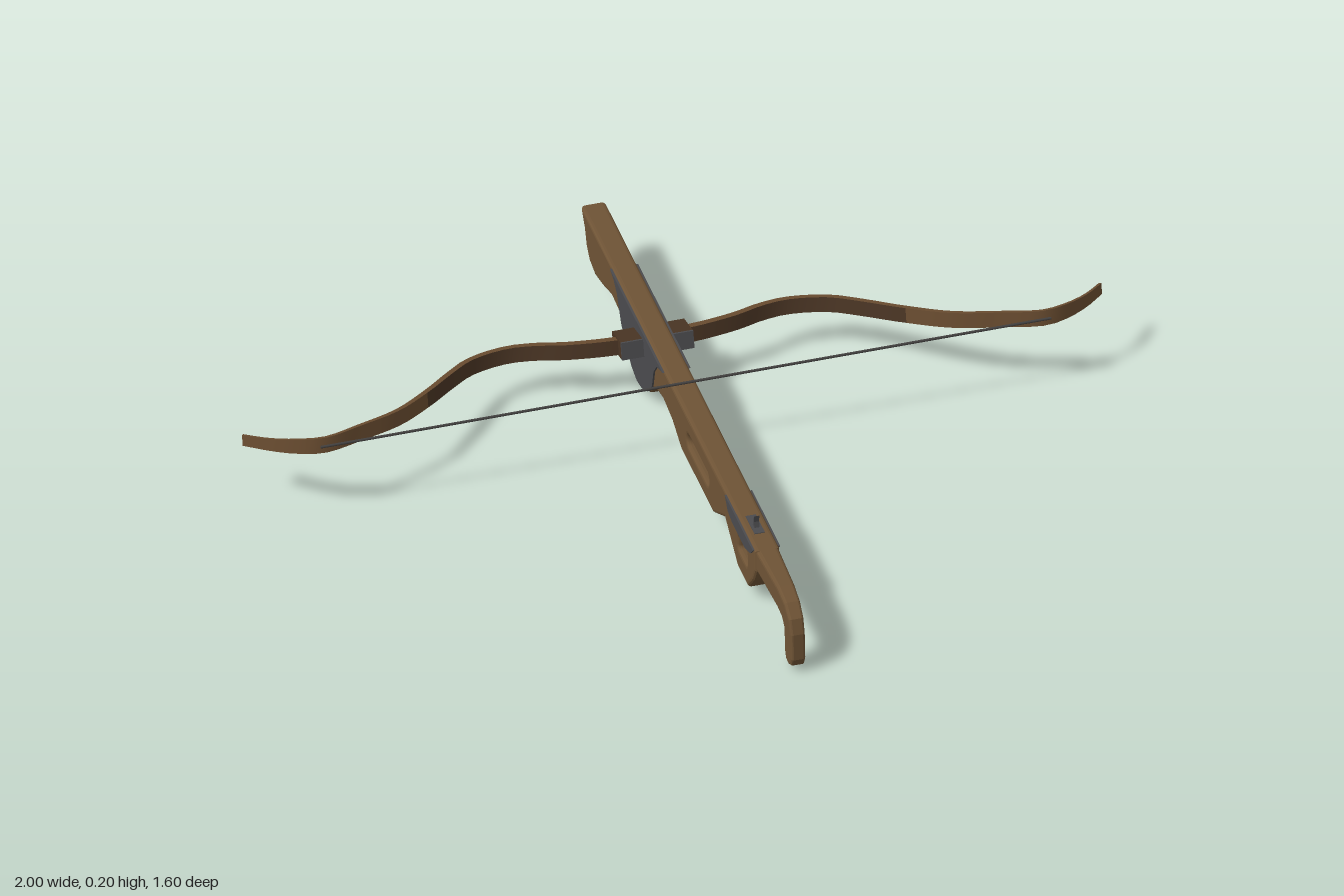
import * as THREE from 'three';

const mat = (name, color, side = THREE.FrontSide) => {
  const m = new THREE.MeshStandardMaterial({ color, side });
  m.name = name;
  return m;
};

// Extrudes a side profile of [z, y] points across x, centred on x = 0
function sideExtrude(points, width, bevel = 0, holes = []) {
  const shape = new THREE.Shape(points.map(p => new THREE.Vector2(...p)));
  shape.holes = holes;
  const depth = width - 2 * bevel;
  const geo = new THREE.ExtrudeGeometry(shape, {
    depth, bevelEnabled: bevel > 0, bevelSize: bevel, bevelThickness: bevel,
    bevelOffset: -bevel, bevelSegments: 3, curveSegments: 6,
  });
  return geo.translate(0, 0, -depth / 2).rotateY(-Math.PI / 2);
}

// Rounded slot with corner radius r
function slot(z0, z1, y0, y1, r) {
  const p = new THREE.Path();
  p.absarc(z1 - r, y0 + r, r, -Math.PI / 2, 0);
  p.absarc(z1 - r, y1 - r, r, 0, Math.PI / 2);
  p.absarc(z0 + r, y1 - r, r, Math.PI / 2, Math.PI);
  p.absarc(z0 + r, y0 + r, r, Math.PI, Math.PI * 1.5);
  return p;
}

// Ribbon surface between two rows of points
function strip(rowA, rowB) {
  const pos = [], index = [];
  rowA.forEach((a, i) => {
    pos.push(...a.toArray(), ...rowB[i].toArray());
    if (i) {
      const k = 2 * i;
      index.push(k - 2, k, k + 1, k - 2, k + 1, k - 1);
    }
  });
  const geo = new THREE.BufferGeometry();
  geo.setAttribute('position', new THREE.Float32BufferAttribute(pos, 3));
  geo.setIndex(index);
  geo.computeVertexNormals();
  return geo;
}

export function createModel() {
  const model = new THREE.Group();
  const wood = mat('wood', 0x6e5335);
  const bowWood = mat('bow wood', 0x694c30, THREE.DoubleSide);
  const darkWood = mat('dark wood', 0x4a3524, THREE.DoubleSide);
  const metal = mat('metal', 0x4b4b4e);
  const cord = mat('cord', 0x434140);
  const add = (name, geo, material, parent = model) => {
    const m = new THREE.Mesh(geo, material);
    m.name = name;
    parent.add(m);
    return m;
  };

  // Stock with trigger guard and two slots
  const bulge = [[-0.235, 0.06], [-0.27, 0.026], [-0.31, 0.006], [-0.35, 0],
    [-0.39, 0.01], [-0.43, 0.035], [-0.47, 0.07]];
  const outline = [
    [-0.8, 0.17], [-0.775, 0.13], [-0.76, 0.09], [-0.735, 0.065], [-0.69, 0.055],
    [-0.63, 0.068], [-0.56, 0.09], [-0.5, 0.085], ...bulge.slice().reverse(),
    [-0.21, 0.075], [-0.16, 0.085], [-0.09, 0.075], [-0.02, 0.045], [0.23, 0.045],
    [0.32, 0.095], [0.42, 0.03], [0.5, 0.03], [0.54, 0.075], [0.56, 0.112], [0.56, 0.17],
  ];
  add('stock', sideExtrude(outline, 0.058, 0.009,
    [slot(0.025, 0.195, 0.091, 0.124, 0.016), slot(0.423, 0.494, 0.082, 0.12, 0.01)]), wood);

  // Hooked grip, narrowing evenly towards its end
  const grip = sideExtrude([
    [0.53, 0.112], [0.7, 0.112], [0.73, 0.106], [0.745, 0.09], [0.75, 0.03],
    [0.757, 0.012], [0.775, 0.007], [0.793, 0.015], [0.802, 0.035], [0.797, 0.1],
    [0.784, 0.135], [0.752, 0.16], [0.7, 0.17], [0.53, 0.17],
  ], 0.054, 0.009);
  const p = grip.attributes.position;
  for (let i = 0; i < p.count; i++) {
    p.setX(i, p.getX(i) * (1 - 1.4 * (p.getZ(i) - 0.53)));
  }
  grip.computeVertexNormals();
  add('grip', grip, wood);

  // Metal side plates
  const bowPlate = [[-0.15, 0.166], [-0.195, 0.152], [-0.22, 0.12], [-0.23, 0.08],
    ...bulge.map(([z, y]) => [z, y + 0.005]), [-0.485, 0.1], [-0.505, 0.135],
    [-0.53, 0.156], [-0.56, 0.166]];
  const triggerPlate = [[0.55, 0.166], [0.53, 0.145], [0.49, 0.13], [0.39, 0.13],
    [0.355, 0.138], [0.33, 0.166]];
  for (const s of [1, -1]) {
    const side = s > 0 ? 'left' : 'right';
    add(side + 'BowPlate', sideExtrude(bowPlate, 0.008), metal).position.x = s * 0.029;
    add(side + 'TriggerPlate', sideExtrude(triggerPlate, 0.006), metal).position.x = s * 0.029;
  }

  // Trigger blade with its release nub above the stock
  add('trigger', sideExtrude([[0.476, 0.088], [0.466, 0.095], [0.461, 0.12], [0.462, 0.17],
    [0.466, 0.19], [0.474, 0.202], [0.472, 0.185], [0.477, 0.168], [0.478, 0.13],
    [0.472, 0.11]], 0.012), metal);
  add('releasePlate', new THREE.BoxGeometry(0.024, 0.006, 0.07), metal).position.set(0, 0.1685, 0.462);

  // Recurved bow, lying in a plane that rises towards the rear
  const SLOPE = 0.235;
  const half = [[0.1, -0.335], [0.2, -0.355], [0.26, -0.378], [0.325, -0.388], [0.415, -0.362],
    [0.48, -0.308], [0.55, -0.24], [0.645, -0.163], [0.74, -0.122], [0.84, -0.088],
    [0.9, -0.107], [0.95, -0.14], [0.998, -0.188]];
  const full = [...half.map(([x, z]) => [-x, z]).reverse(), [0, -0.332], ...half];
  const bowY = z => 0.18 + (z + 0.09) * SLOPE;
  const curve = new THREE.CatmullRomCurve3(full.map(([x, z]) => new THREE.Vector3(x, bowY(z), z)));
  const up = new THREE.Vector3(0, 1, -SLOPE).normalize();
  const rows = [[], [], [], []]; // front-low, front-top, back-top, back-low
  const N = 80;
  for (let i = 0; i <= N; i++) {
    const c = curve.getPointAt(i / N);
    const out = curve.getTangentAt(i / N).cross(up).normalize();
    const a = Math.abs(c.x);
    const h = 0.018 - 0.005 * THREE.MathUtils.smoothstep(a, 0.85, 1);
    const d = THREE.MathUtils.lerp(0.011, 0.003, a);
    [[d, -h], [d, h], [-d, h], [-d, -h]].forEach(([o, u], k) =>
      rows[k].push(c.clone().addScaledVector(out, o).addScaledVector(up, u)));
  }
  const bow = new THREE.Group();
  bow.name = 'bow';
  model.add(bow);
  ['top', 'back', 'bottom'].forEach((n, k) =>
    add(n + 'OfBow', strip(rows[k + 1], rows[(k + 2) % 4]), bowWood, bow));
  const cut = 18; // samples belonging to each paler tip
  [['rightTipFront', 0, cut, bowWood], ['bowFront', cut, N - cut, darkWood],
    ['leftTipFront', N - cut, N, bowWood]].forEach(([n, a, b, m]) =>
    add(n, strip(rows[0].slice(a, b + 1), rows[1].slice(a, b + 1)), m, bow));
  for (const i of [0, N]) {
    add('bowEnd', strip([rows[0][i], rows[3][i]], [rows[1][i], rows[2][i]]), bowWood, bow);
  }

  // Clamp block holding the bow, with a metal front face
  const clamp = new THREE.Group();
  clamp.name = 'bowClamp';
  clamp.position.set(0, 0.123, -0.335);
  clamp.rotation.x = -Math.atan(SLOPE);
  model.add(clamp);
  add('clampBlock', new THREE.BoxGeometry(0.168, 0.042, 0.068), darkWood, clamp);
  add('clampFace', new THREE.BoxGeometry(0.168, 0.042, 0.006), metal, clamp).position.z = 0.037;

  // Bowstring
  const string = add('bowString', new THREE.CylinderGeometry(0.0032, 0.0032, 1.7, 10), cord);
  string.rotation.z = Math.PI / 2;
  string.position.set(0, 0.183, -0.078);
  return model;
}
